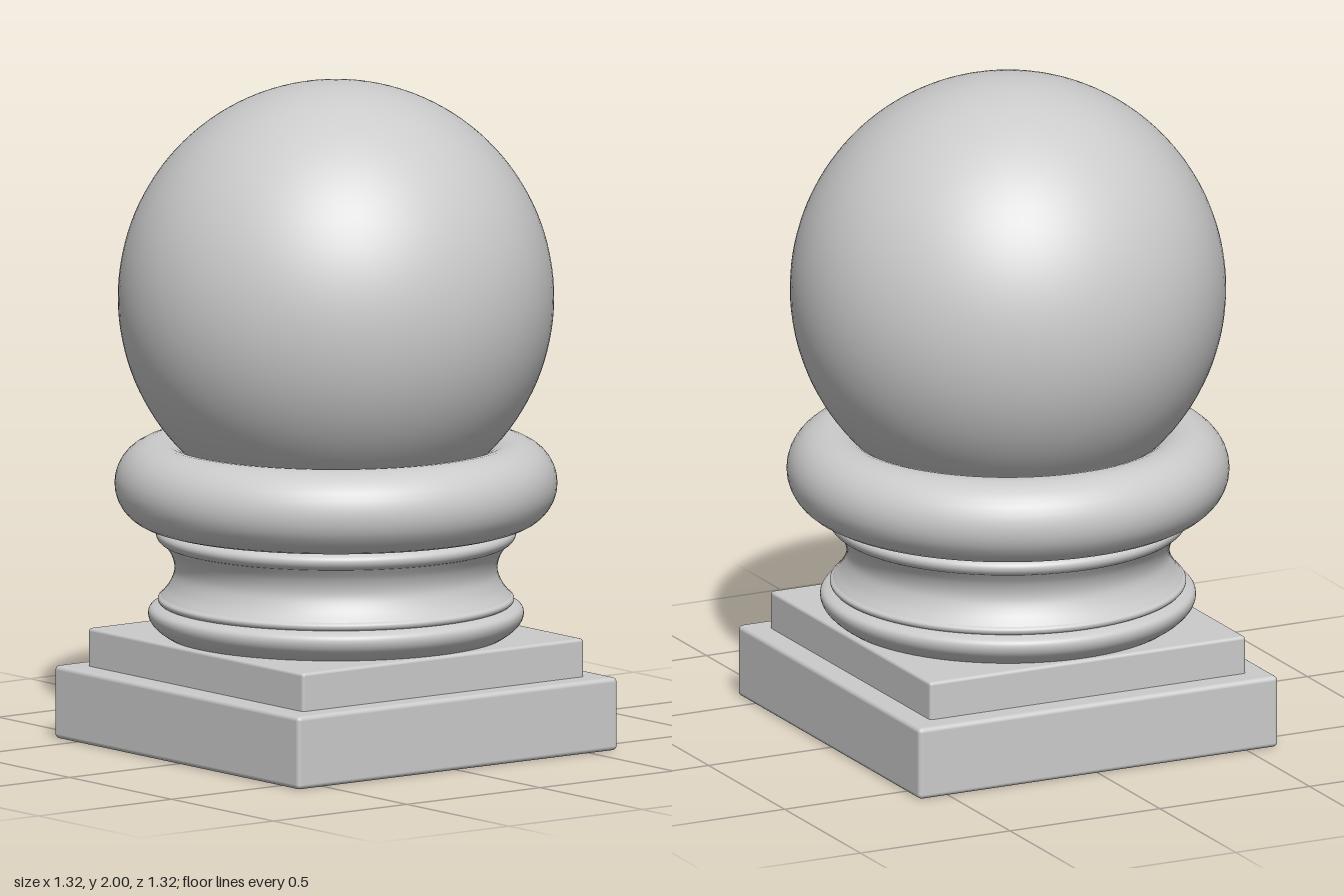
import * as THREE from 'three';
import { RoundedBoxGeometry } from 'three/addons/geometries/RoundedBoxGeometry.js';

export function createModel() {
  const group = new THREE.Group();
  const material = new THREE.MeshStandardMaterial({ color: 0xcccccc });

  const add = (name, geometry, y = 0) => {
    const mesh = new THREE.Mesh(geometry, material);
    mesh.name = name;
    mesh.position.y = y;
    group.add(mesh);
    return mesh;
  };

  // Square slab spanning y0..y1 with slightly softened edges
  const slab = (name, width, y0, y1, radius) =>
    add(name, new RoundedBoxGeometry(width, y1 - y0, width, 3, radius), (y0 + y1) / 2);

  // Round moulding from a smooth [radius, height] profile, bottom to top
  const moulding = (name, profile) => {
    const curve = new THREE.SplineCurve(profile.map(([r, y]) => new THREE.Vector2(r, y)));
    add(name, new THREE.LatheGeometry(curve.getPoints(28), 96));
  };

  // Stepped square foot
  slab('base', 1.2, 0, 0.22, 0.014);
  slab('plinth', 1.055, 0.2, 0.335, 0.01);

  // Turned neck: lower bead, fillet, concave waist, upper bead
  moulding('lowerBead', [[0.5, 0.33], [0.53, 0.35], [0.553, 0.375], [0.56, 0.4], [0.55, 0.418], [0.515, 0.43]]);
  moulding('fillet', [[0.515, 0.425], [0.528, 0.432], [0.53, 0.445], [0.515, 0.457]]);
  moulding('waist', [[0.522, 0.452], [0.5, 0.48], [0.484, 0.515], [0.482, 0.545], [0.492, 0.578], [0.512, 0.61]]);
  moulding('upperBead', [[0.49, 0.605], [0.522, 0.613], [0.536, 0.633], [0.528, 0.652], [0.49, 0.67]]);

  // Thick ring cradling the ball
  const ring = new THREE.TorusGeometry(0.533, 0.127, 32, 96);
  ring.rotateX(Math.PI / 2);
  add('ring', ring, 0.79);

  // Ball finial
  add('ball', new THREE.SphereGeometry(0.65, 96, 64), 1.35);

  return group;
}
